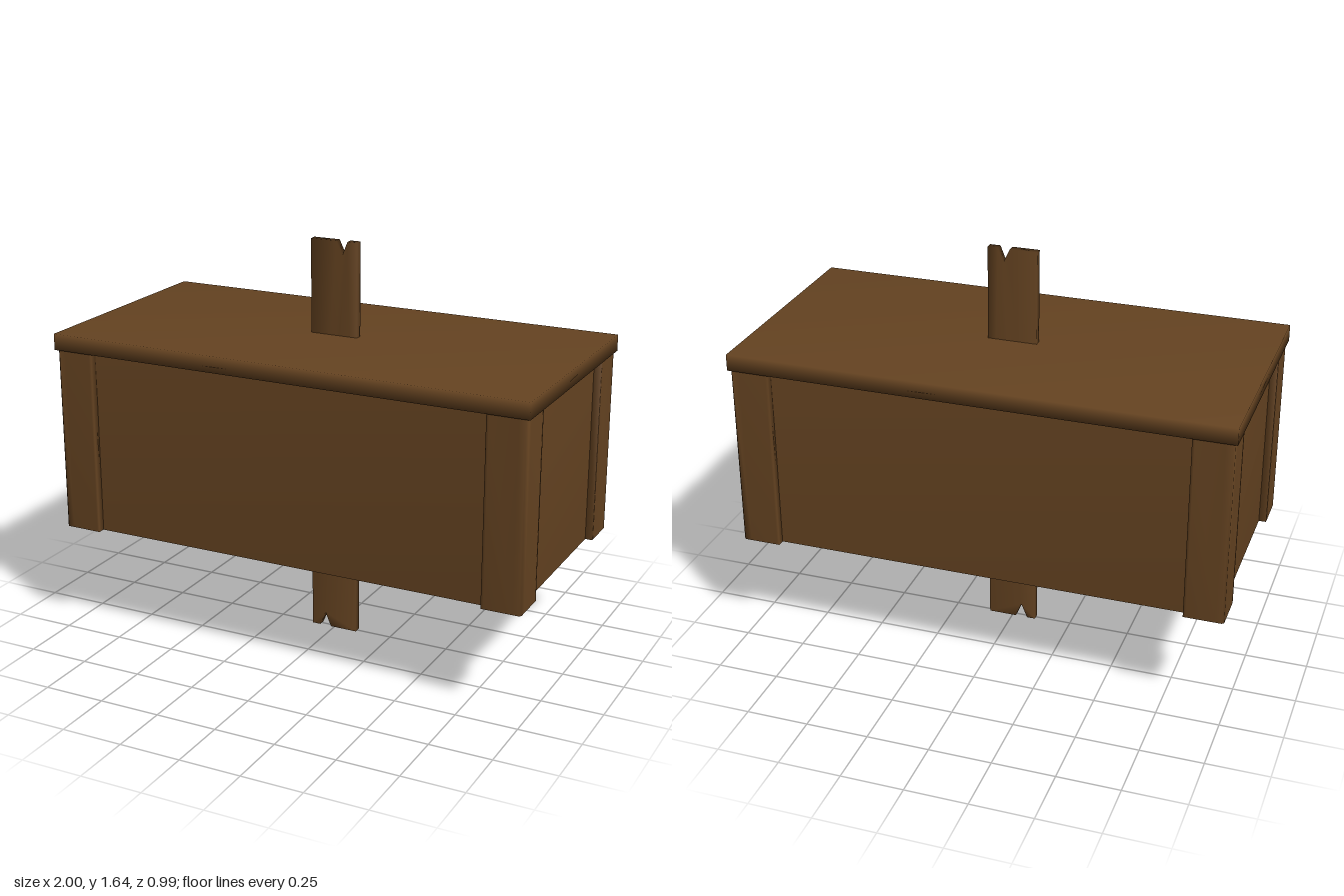
import * as THREE from 'three';
import { mergeVertices } from 'three/addons/utils/BufferGeometryUtils.js';

// Weld the corners so the shading runs softly over the edges.
function soften(geometry) {
  geometry.deleteAttribute('normal');
  geometry.deleteAttribute('uv');
  const welded = mergeVertices(geometry, 1e-4);
  welded.clearGroups();
  welded.computeVertexNormals();
  return welded;
}

const shapeOf = (points) => new THREE.Shape(points.map(([x, y]) => new THREE.Vector2(x, y)));

// Raise a floor plan (x, -z) from y = bottom to y = top.
function raise(shape, bottom, top) {
  const geometry = new THREE.ExtrudeGeometry(shape, { depth: top - bottom, bevelEnabled: false });
  geometry.rotateX(-Math.PI / 2);
  geometry.translate(0, bottom, 0);
  return geometry;
}

export function createModel() {
  const model = new THREE.Group();
  model.name = 'woodenCrateOnPlank';

  const wood = new THREE.MeshStandardMaterial({ color: 0x654321 });
  wood.name = 'brown wood';

  const add = (name, geometry, x = 0, y = 0, z = 0) => {
    const mesh = new THREE.Mesh(geometry, wood);
    mesh.name = name;
    mesh.position.set(x, y, z);
    model.add(mesh);
  };

  const bottom = 0.447, lidBottom = 1.198, lidTop = 1.264;
  const height = lidBottom - bottom, middle = (lidBottom + bottom) / 2;
  const wallX = 0.96, wallZ = 0.455, board = 0.03;

  // Wall boards and the two floor boards, flush along the bottom
  for (const s of [-1, 1]) {
    add(s > 0 ? 'frontWall' : 'backWall',
      soften(new THREE.BoxGeometry(2 * wallX, height, board)), 0, middle, s * (wallZ - board / 2));
    add(s > 0 ? 'leftWall' : 'rightWall',
      soften(new THREE.BoxGeometry(board, height, 2 * (wallZ - board))), s * (wallX - board / 2), middle, 0);
    add(s > 0 ? 'frontFloorBoard' : 'backFloorBoard',
      soften(new THREE.BoxGeometry(2 * (wallX - board), board, wallZ - board)),
      0, bottom + board / 2, s * (wallZ - board) / 2);
  }

  // L-shaped corner posts with a small chamfer, standing proud of the walls
  const X = 0.99, Z = 0.485, width = 0.157, thick = 0.04, cut = 0.008, flat = 0.035;
  for (const sx of [-1, 1]) {
    for (const sz of [-1, 1]) {
      const plan = [
        [X - width, Z], [X - width + 0.01, Z], [X - flat, Z], [X - cut, Z],
        [X, Z - cut], [X, Z - flat], [X, Z - width + 0.01], [X, Z - width],
        [X - thick, Z - width], [X - thick, Z - thick], [X - width, Z - thick],
      ].map(([x, z]) => [x * sx, -z * sz]);
      const name = (sz > 0 ? 'front' : 'back') + (sx > 0 ? 'Left' : 'Right') + 'Post';
      add(name, soften(raise(shapeOf(plan), bottom, lidBottom)));
    }
  }

  // Flat lid
  add('lid', soften(new THREE.BoxGeometry(2, lidTop - lidBottom, 0.985)), 0, (lidTop + lidBottom) / 2, 0);

  // Upright plank through the crate, notched at both ends
  const plank = new THREE.ExtrudeGeometry(shapeOf([
    [-0.1, 0], [-0.065, 0], [-0.04, 0.06], [-0.015, 0], [0.1, 0],
    [0.1, 1.643], [0.058, 1.643], [0.036, 1.588], [0.01, 1.643], [-0.1, 1.643],
  ]), { depth: 0.03, bevelEnabled: false });
  plank.translate(0, 0, -0.015);
  add('plank', soften(plank));

  return model;
}
